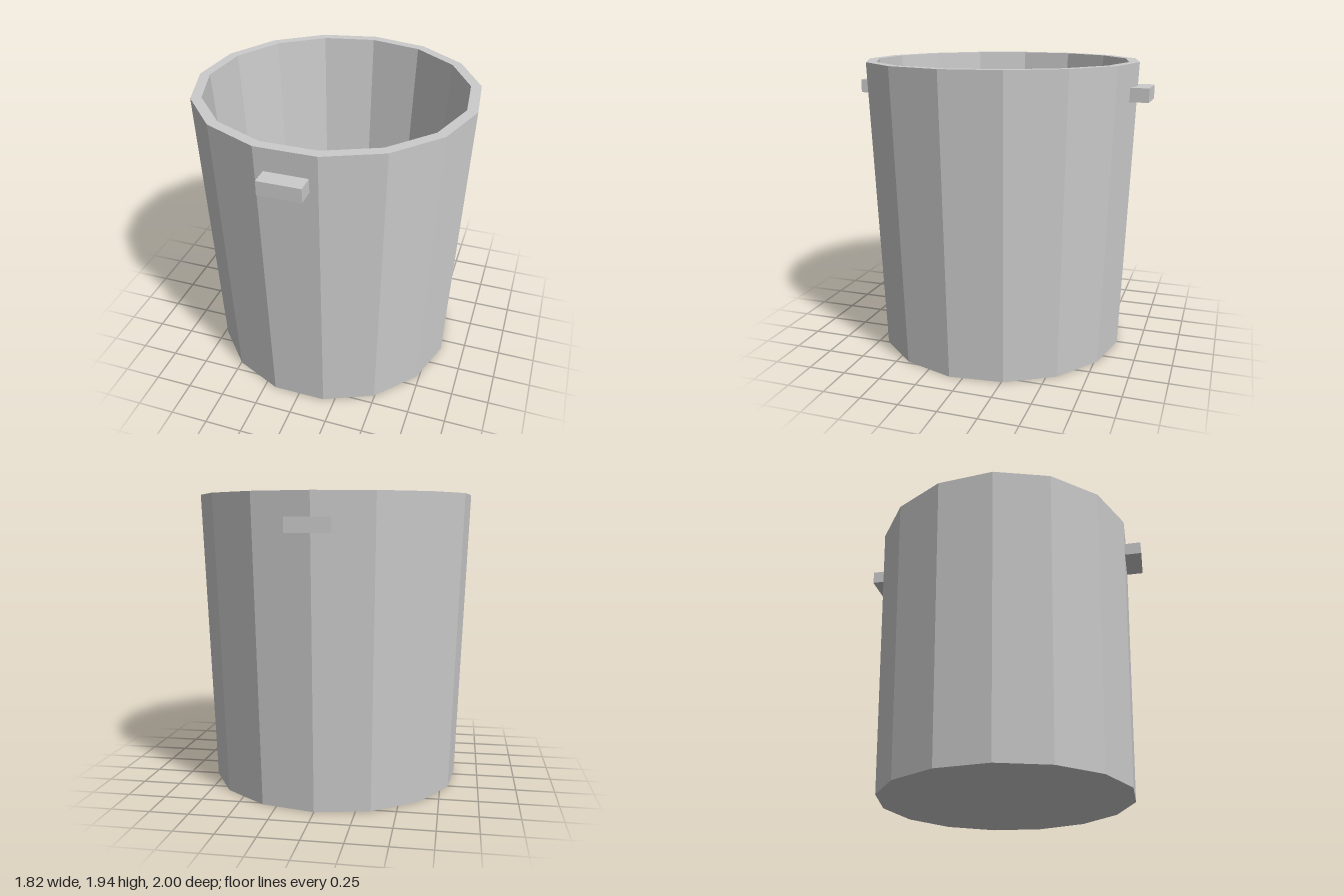
import * as THREE from 'three';

const SIDES = 15;

export function createModel() {
  const group = new THREE.Group();
  const material = new THREE.MeshStandardMaterial({ color: 0xcccccc, flatShading: true });

  // Tapered bucket: underside, outer wall, rim, inner wall, floor (one corner faces the back)
  const profile = [
    [0, 0], [0.843, 0], [0.915, 1.94], [0.847, 1.94], [0.742, 0.1], [0, 0.1],
  ].map(([r, y]) => new THREE.Vector2(r, y));
  const bucket = new THREE.Mesh(new THREE.LatheGeometry(profile, SIDES, Math.PI), material);
  bucket.name = 'bucket';
  group.add(bucket);

  // Block grips, front and back, rooted inside the wall
  const inner = 0.86, outer = 1;
  for (const [name, side] of [['frontHandle', 1], ['backHandle', -1]]) {
    const handle = new THREE.Mesh(new THREE.BoxGeometry(0.27, 0.09, outer - inner), material);
    handle.position.set(0, 1.745, side * (inner + outer) / 2);
    handle.name = name;
    group.add(handle);
  }
  return group;
}
